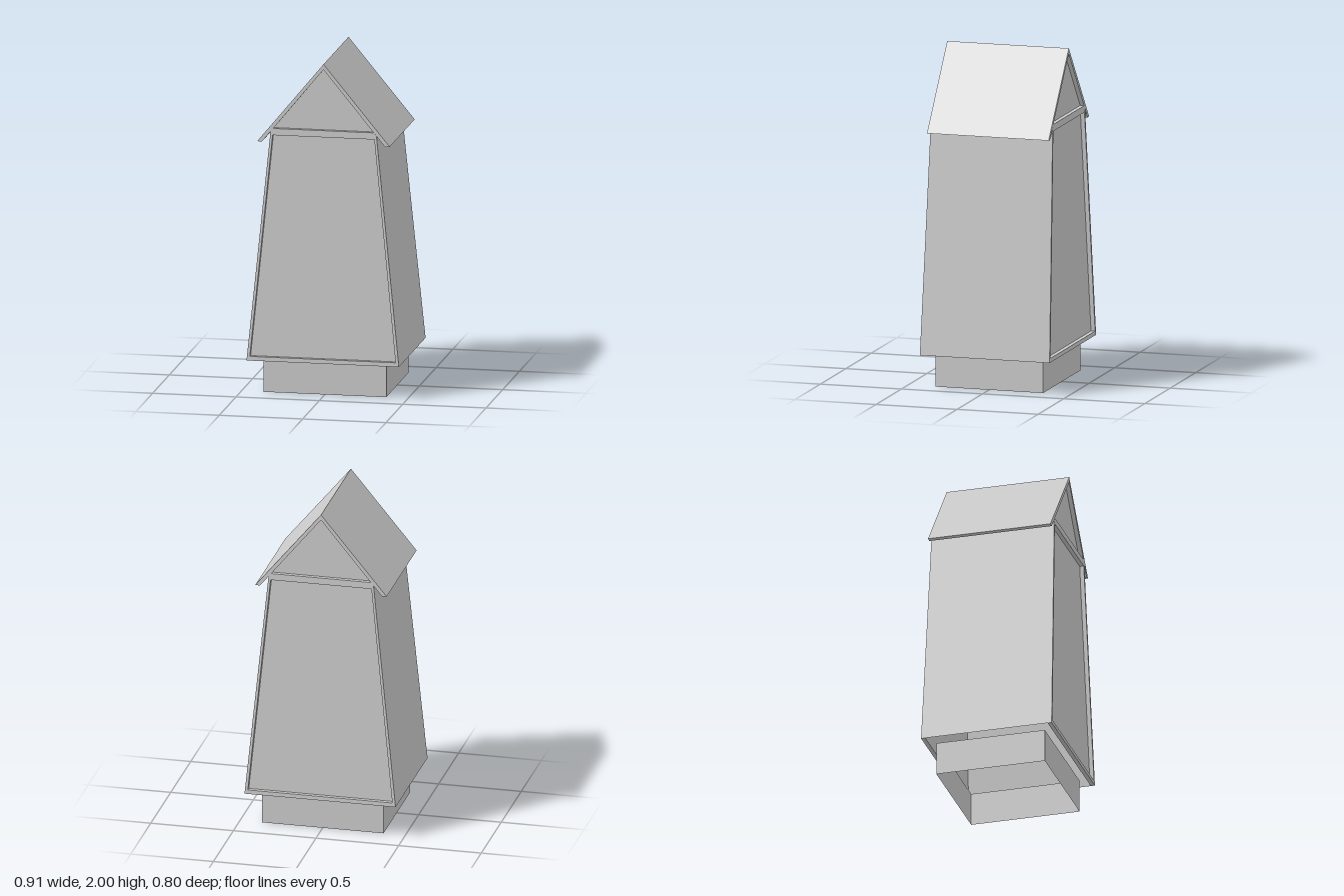
import * as THREE from 'three';

const material = new THREE.MeshStandardMaterial({ color: 0xcccccc, flatShading: true, side: THREE.DoubleSide });

const BASE_Y = 0.2, WALL_TOP = 1.6, RECESS = 0.025;
const ROOF_HALF = 0.375;

// Front surface leans inwards: z of the facade at height y
const facadeZ = (y) => 0.4 - 0.025 * Math.min(1, (y - BASE_Y) / (WALL_TOP - BASE_Y));

const toPoints = (list) => list.map(([x, y]) => new THREE.Vector2(x, y));
// Mirror the right-hand half of an outline onto the left
const mirrored = (half) => toPoints([...half, ...half.map(([x, y]) => [-x, y]).reverse()]);

function addMesh(parent, name, geometry) {
  const mesh = new THREE.Mesh(geometry, material);
  mesh.name = name;
  parent.add(mesh);
  return mesh;
}

// Push a geometry drawn in the xy plane onto the leaning facade
function lean(geometry, offset = 0) {
  const p = geometry.attributes.position;
  for (let i = 0; i < p.count; i++) p.setZ(i, p.getZ(i) + facadeZ(p.getY(i)) + offset);
  geometry.computeVertexNormals();
  return geometry;
}

// Four-sided open tube, 1 x 1 x 1, standing on y = 0
function openBox() {
  return new THREE.CylinderGeometry(Math.SQRT1_2, Math.SQRT1_2, 1, 4, 1, true)
    .rotateY(Math.PI / 4).translate(0, 0.5, 0);
}

function createFacade() {
  const facade = new THREE.Group();
  const opening = mirrored([[0.437, 0.225], [0.305, 1.56]]);

  // Frame around the large recessed panel
  const frame = new THREE.Shape(mirrored([[0.457, BASE_Y], [0.318, 1.58], [0.302, WALL_TOP]]));
  frame.holes.push(new THREE.Path(opening));
  addMesh(facade, 'wallFrame',
    lean(new THREE.ExtrudeGeometry(frame, { depth: RECESS, bevelEnabled: false }), -RECESS));
  addMesh(facade, 'wallPanel', lean(new THREE.ShapeGeometry(new THREE.Shape(opening)), -RECESS));

  // Recessed triangle under the roof
  const gable = new THREE.Shape(toPoints([[-0.302, WALL_TOP], [0.302, WALL_TOP], [0, 1.968]]));
  addMesh(facade, 'gablePanel', lean(new THREE.ShapeGeometry(gable), -RECESS));
  return facade;
}

function createSideWall() {
  // Plane corners moved to the tapering outline
  const geometry = new THREE.PlaneGeometry(1, 1);
  const p = geometry.attributes.position;
  for (let i = 0; i < p.count; i++) {
    const top = p.getY(i) > 0;
    const y = top ? 1.58 : BASE_Y;
    p.setXYZ(i, top ? 0.318 : 0.457, y, -Math.sign(p.getX(i)) * facadeZ(y));
  }
  geometry.computeVertexNormals();
  return geometry;
}

export function createModel() {
  const model = new THREE.Group();
  model.name = 'tower';

  // Hollow plinth
  addMesh(model, 'plinth', openBox().scale(0.736, BASE_Y, 0.664));

  // Matching front and back, left and right
  for (const [side, turn] of [['front', 0], ['back', Math.PI]]) {
    const facade = createFacade();
    facade.name = side + 'Facade';
    facade.rotation.y = turn;
    model.add(facade);
  }
  for (const [side, turn] of [['left', 0], ['right', Math.PI]]) {
    addMesh(model, side + 'Wall', createSideWall()).rotation.y = turn;
  }

  // Thin folded roof with overhanging eaves
  const roof = new THREE.Shape(toPoints([
    [0, 2], [-0.397, 1.52], [-0.37, 1.517], [0, 1.968], [0.37, 1.517], [0.397, 1.52],
  ]));
  addMesh(model, 'roof',
    new THREE.ExtrudeGeometry(roof, { depth: 2 * ROOF_HALF, bevelEnabled: false })
      .translate(0, 0, -ROOF_HALF));

  return model;
}
